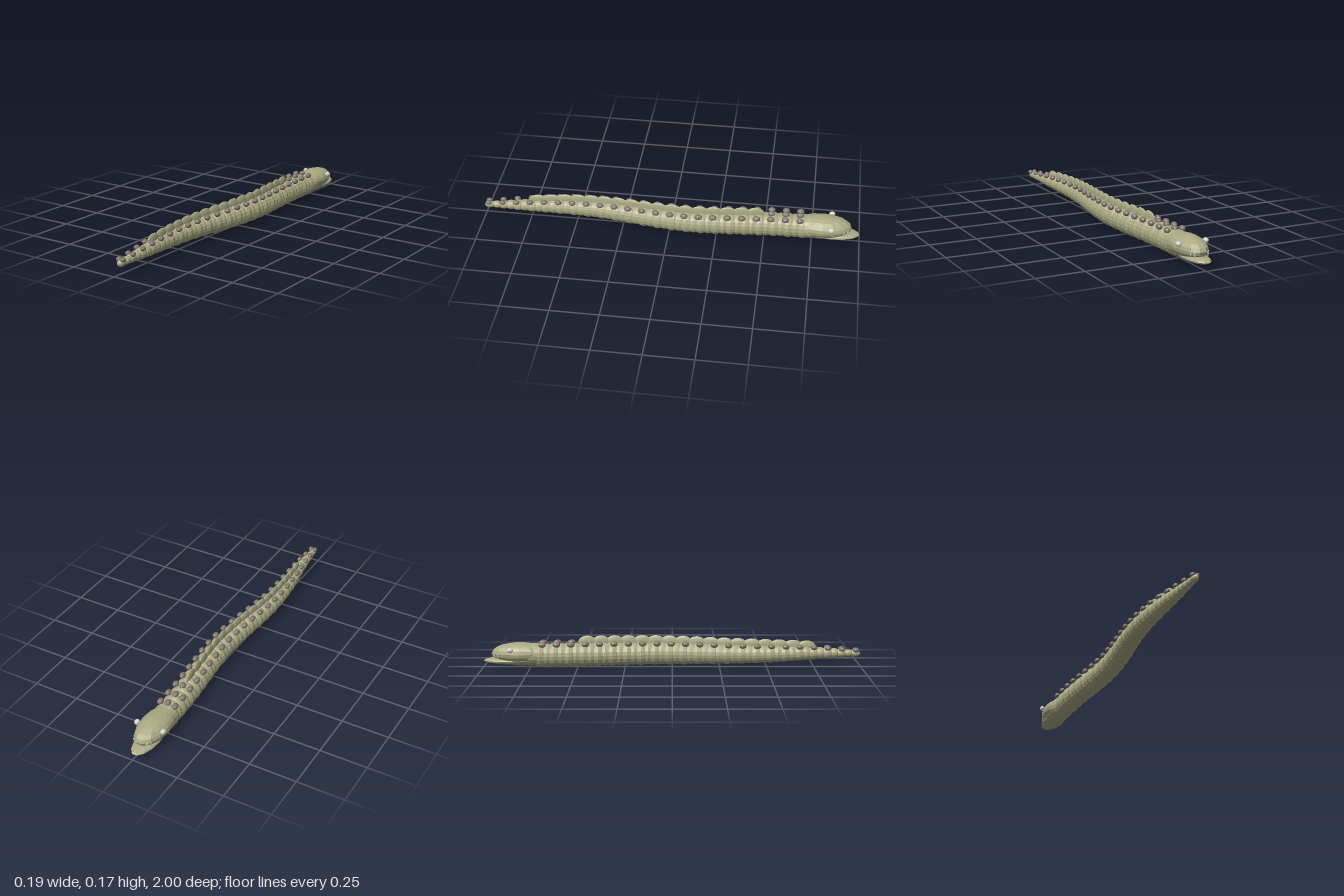
import * as THREE from 'three';

const material = (name, color) => {
  const m = new THREE.MeshStandardMaterial({ color, flatShading: true });
  m.name = name;
  return m;
};

// Smooth interpolation through [z, value] pairs
const track = (points) => {
  const curve = new THREE.CatmullRomCurve3(points.map(([z, v]) => new THREE.Vector3(v, 0, z)));
  const samples = curve.getPoints(200);
  return (z) => {
    for (let i = 1; i < samples.length; i++) {
      const a = samples[i - 1], b = samples[i];
      if (z <= b.z) return THREE.MathUtils.mapLinear(Math.max(z, a.z), a.z, b.z, a.x, b.x);
    }
    return samples[samples.length - 1].x;
  };
};

export function createModel() {
  const model = new THREE.Group();
  model.name = 'serpent';
  const skin = material('olive skin', 0xabaa84);
  const stud = material('brown studs', 0x80736c);
  const white = material('pale eyes and fangs', 0xd2d2d0);

  const ball = new THREE.SphereGeometry(1, 14, 10);
  const smallBall = new THREE.SphereGeometry(1, 10, 7);
  const add = (parent, name, geometry, mat, pos, scale, yaw = 0) => {
    const mesh = new THREE.Mesh(geometry, mat);
    mesh.name = name;
    mesh.position.set(...pos);
    mesh.scale.set(...scale);
    mesh.rotation.y = yaw;
    parent.add(mesh);
    return mesh;
  };
  const group = (name) => {
    const g = new THREE.Group();
    g.name = name;
    model.add(g);
    return g;
  };

  // Sideways sway, height and thickness along the spine
  const sway = track([[-0.74, -0.01], [-0.55, -0.004], [-0.4, 0.008], [-0.2, 0.026], [-0.08, 0.03],
    [0.1, 0.018], [0.3, -0.004], [0.45, -0.01], [0.6, -0.004], [0.8, 0.014], [1, 0.026]]);
  const height = track([[-0.74, 0.068], [-0.2, 0.07], [0.4, 0.073], [0.8, 0.075], [1, 0.071]]);
  const radius = track([[-0.74, 0.064], [-0.4, 0.064], [0, 0.06], [0.3, 0.053], [0.6, 0.043],
    [0.8, 0.031], [0.9, 0.023], [1, 0.017]]);
  const heading = (z) => Math.atan2(sway(z + 0.02) - sway(z - 0.02), 0.04);

  // Overlapping body rings, alternately fuller and slimmer
  const body = group('body');
  const step = 0.038;
  for (let i = 0; i < 45; i++) {
    const z = -0.7 + i * step;
    const r = radius(z) * (i % 2 ? 0.965 : 1.01);
    add(body, 'bodySegment', ball, skin, [sway(z), height(z), z],
      [r, r, Math.min(0.05, 0.014 + r * 0.75)], heading(z));
  }
  add(body, 'tailTip', ball, skin, [0.026, 0.071, 0.975], [0.017, 0.018, 0.025]);

  // Rows of studs along the back
  const studs = group('backStuds');
  for (let i = 0; i < 23; i++) {
    const z = -0.685 + i * 0.0755;
    const r = radius(z);
    const size = 0.012 + r * 0.06;
    for (const side of i < 3 ? [-1, 0, 1] : [-1, 1]) {
      const angle = side * 0.69;
      add(studs, 'stud', smallBall, stud,
        [sway(z) + Math.sin(angle) * r * 1.03, height(z) + Math.cos(angle) * r * (side ? 1.22 : 1.03), z],
        [size, size * 0.92, size * 1.3], heading(z));
    }
  }

  // Crest of thin overlapping plates
  const crest = group('crest');
  for (let i = 0; i < 17; i++) {
    const z = -0.45 + i * 0.0725;
    const r = radius(z);
    add(crest, 'crestPlate', ball, skin, [sway(z), height(z) + r, z],
      [0.011, 0.024 + r * 0.2, 0.05], heading(z));
  }

  // Head: domed skull over a flat projecting jaw
  const head = group('head');
  head.position.x = -0.01;
  add(head, 'skull', ball, skin, [0, 0.08, -0.805], [0.077, 0.056, 0.152]);
  add(head, 'neck', ball, skin, [0, 0.072, -0.74], [0.068, 0.06, 0.1]);
  add(head, 'lowerJaw', ball, skin, [0, 0.04, -0.86], [0.058, 0.02, 0.14]);
  add(head, 'throat', ball, skin, [0, 0.055, -0.8], [0.062, 0.042, 0.11]);

  // Eyes and paired fangs
  const fang = new THREE.ConeGeometry(1, 1, 8);
  fang.rotateX(Math.PI);
  for (const side of [-1, 1]) {
    add(head, side > 0 ? 'leftEye' : 'rightEye', smallBall, white,
      [side * 0.074, 0.105, -0.85], [0.014, 0.014, 0.017]);
    add(head, 'fang', fang, white, [side * 0.046, 0.064, -0.918], [0.006, 0.032, 0.006]);
    add(head, 'fang', fang, white, [side * 0.036, 0.064, -0.936], [0.006, 0.032, 0.006]);
  }
  return model;
}
